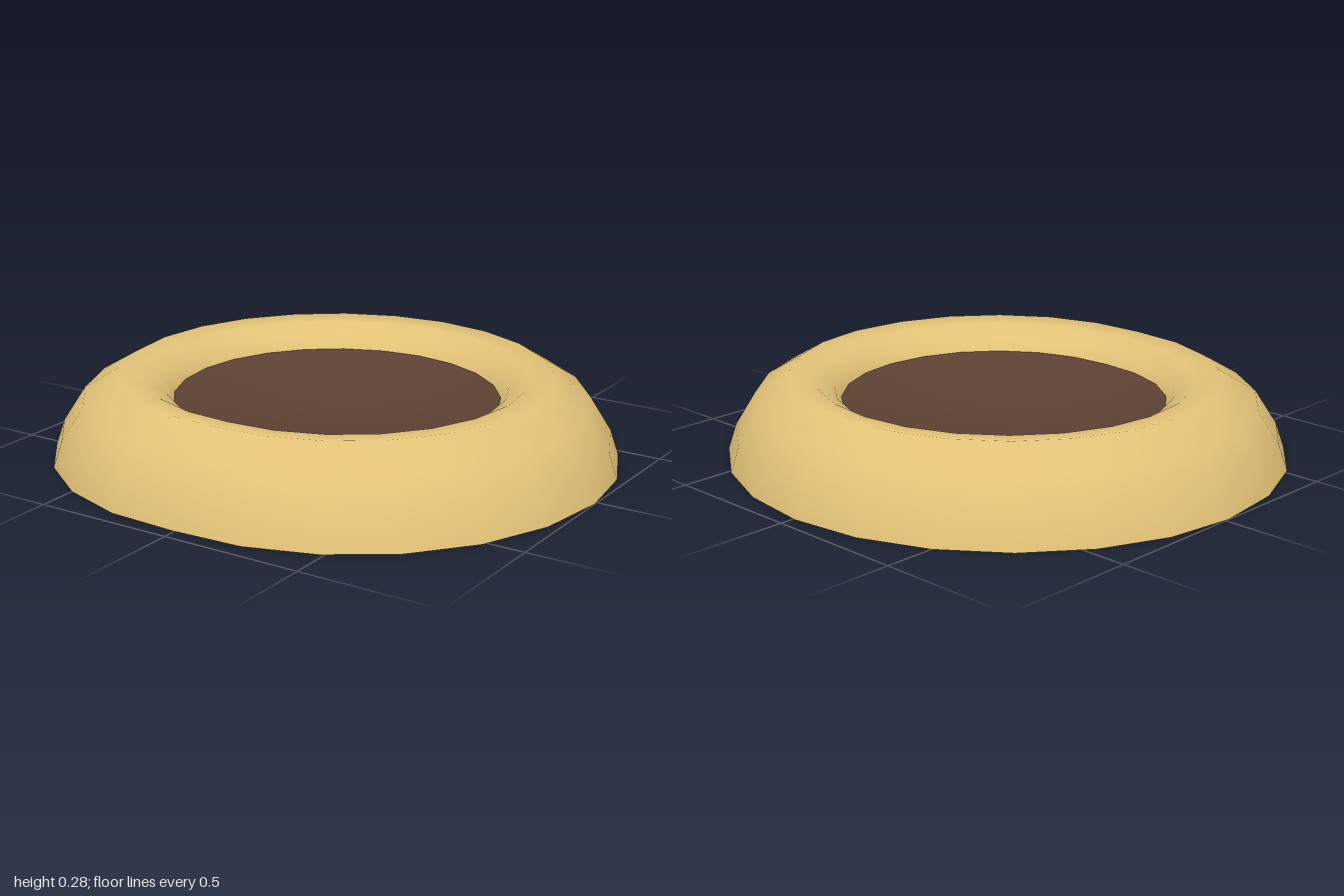
import * as THREE from 'three';
import { mergeVertices } from 'three/addons/utils/BufferGeometryUtils.js';

const SIDES = 24;

// Lathe a profile, press it into a slightly uneven hand-made oval and weld the seam smooth
function ovalLathe(profile) {
  const geo = new THREE.LatheGeometry(profile.map(([r, y]) => new THREE.Vector2(r, y)), SIDES);
  geo.deleteAttribute('uv');
  geo.deleteAttribute('normal');
  const p = geo.attributes.position;
  for (let i = 0; i < p.count; i++) {
    const x = p.getX(i), z = p.getZ(i);
    const bulge = 0.075 * Math.abs(x) * Math.max(z, 0); // fuller front corners
    p.setX(i, x * (0.98 + 0.02 * x * x) - 0.01 * (1 - x * x));
    p.setZ(i, z * 0.95 + 0.015 * x * x + bulge);
  }
  const welded = mergeVertices(geo, 1e-4);
  welded.computeVertexNormals();
  return welded;
}

export function createModel() {
  const group = new THREE.Group();
  const gold = new THREE.MeshStandardMaterial({ color: 0xe2c277, side: THREE.DoubleSide });
  gold.name = 'golden crust';
  const brown = new THREE.MeshStandardMaterial({ color: 0x5d4033, side: THREE.DoubleSide });
  brown.name = 'dark brown';

  // Rounded ring, open underneath, rolling inward to the centre
  const ring = new THREE.Mesh(ovalLathe([
    [1, 0], [0.97, 0.09], [0.895, 0.21], [0.77, 0.285],
    [0.68, 0.275], [0.61, 0.235], [0.583, 0.192],
  ]), gold);
  ring.name = 'ring';

  // Sunken bowl-shaped centre
  const centre = new THREE.Mesh(ovalLathe([
    [0.588, 0.195], [0.44, 0.16], [0.29, 0.135], [0.15, 0.12], [0, 0.115],
  ]), brown);
  centre.name = 'centre';

  group.add(ring, centre);
  return group;
}
